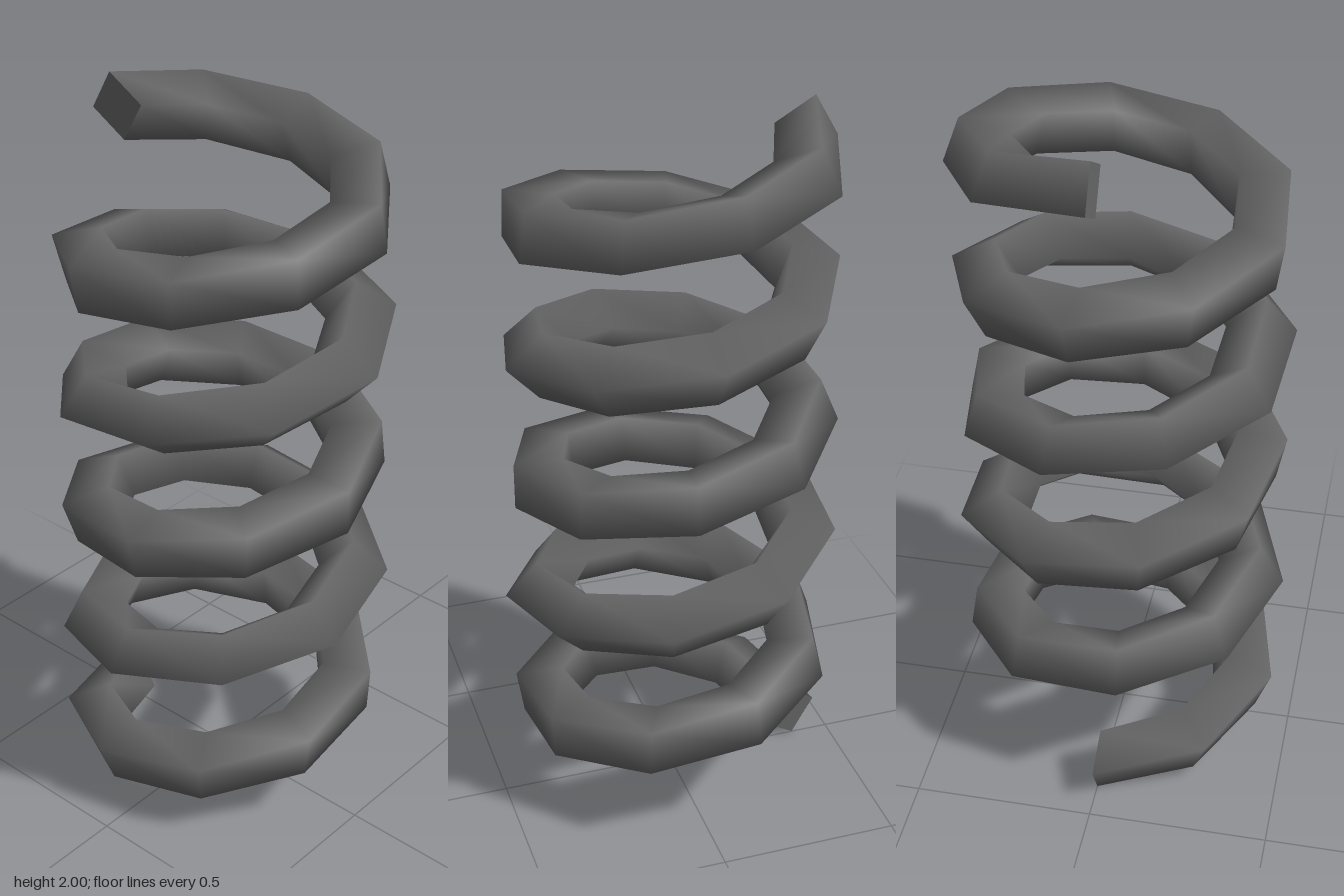
import * as THREE from 'three';

const TURNS = 5, STEPS = 44, SIDES = 4;
const COIL_RADIUS = 0.367, WIRE_RADIUS = 0.0905;
const Y_START = 0.0875, Y_END = 1.9125;
const ROLL_START = Math.PI / 12, ROLL_TOTAL = THREE.MathUtils.degToRad(240);
// Widens the section at each bend so the straight pieces keep their thickness
const MITRE = 1 / Math.cos((Math.PI * TURNS) / STEPS);

// Corner j of the square wire section at step i, in the upright radial plane
function corner(i, j) {
  const f = i / STEPS, t = f * TURNS * Math.PI * 2;
  const roll = ROLL_START + f * ROLL_TOTAL + (j / SIDES) * Math.PI * 2;
  const widen = i === 0 || i === STEPS ? 1 : MITRE;
  const r = COIL_RADIUS + WIRE_RADIUS * widen * Math.cos(roll);
  const y = THREE.MathUtils.lerp(Y_START, Y_END, f) + WIRE_RADIUS * Math.sin(roll);
  return [-r * Math.sin(t), y, -r * Math.cos(t)];
}

function buildGeometry(positions, index) {
  const g = new THREE.BufferGeometry();
  g.setAttribute('position', new THREE.Float32BufferAttribute(positions, 3));
  g.setIndex(index);
  g.computeVertexNormals();
  return g;
}

// Flat square that closes one end of the wire
function capGeometry(i, flip) {
  const positions = [];
  for (let j = 0; j < SIDES; j++) positions.push(...corner(i, j));
  return buildGeometry(positions, flip ? [0, 2, 1, 0, 3, 2] : [0, 1, 2, 0, 2, 3]);
}

export function createModel() {
  const group = new THREE.Group();
  group.name = 'coilSpring';
  const material = new THREE.MeshStandardMaterial({ color: 0x666666 });
  const add = (name, geometry) => {
    const mesh = new THREE.Mesh(geometry, material);
    mesh.name = name;
    group.add(mesh);
  };

  // Coiled wire, smooth shaded
  const positions = [], index = [];
  for (let i = 0; i <= STEPS; i++) {
    for (let j = 0; j < SIDES; j++) {
      positions.push(...corner(i, j));
      if (i === STEPS) continue;
      const a = i * SIDES + j, b = i * SIDES + (j + 1) % SIDES;
      index.push(a, a + SIDES, b, b, a + SIDES, b + SIDES);
    }
  }
  add('coil', buildGeometry(positions, index));

  // Wire ends
  add('bottomEnd', capGeometry(0, false));
  add('topEnd', capGeometry(STEPS, true));
  return group;
}
